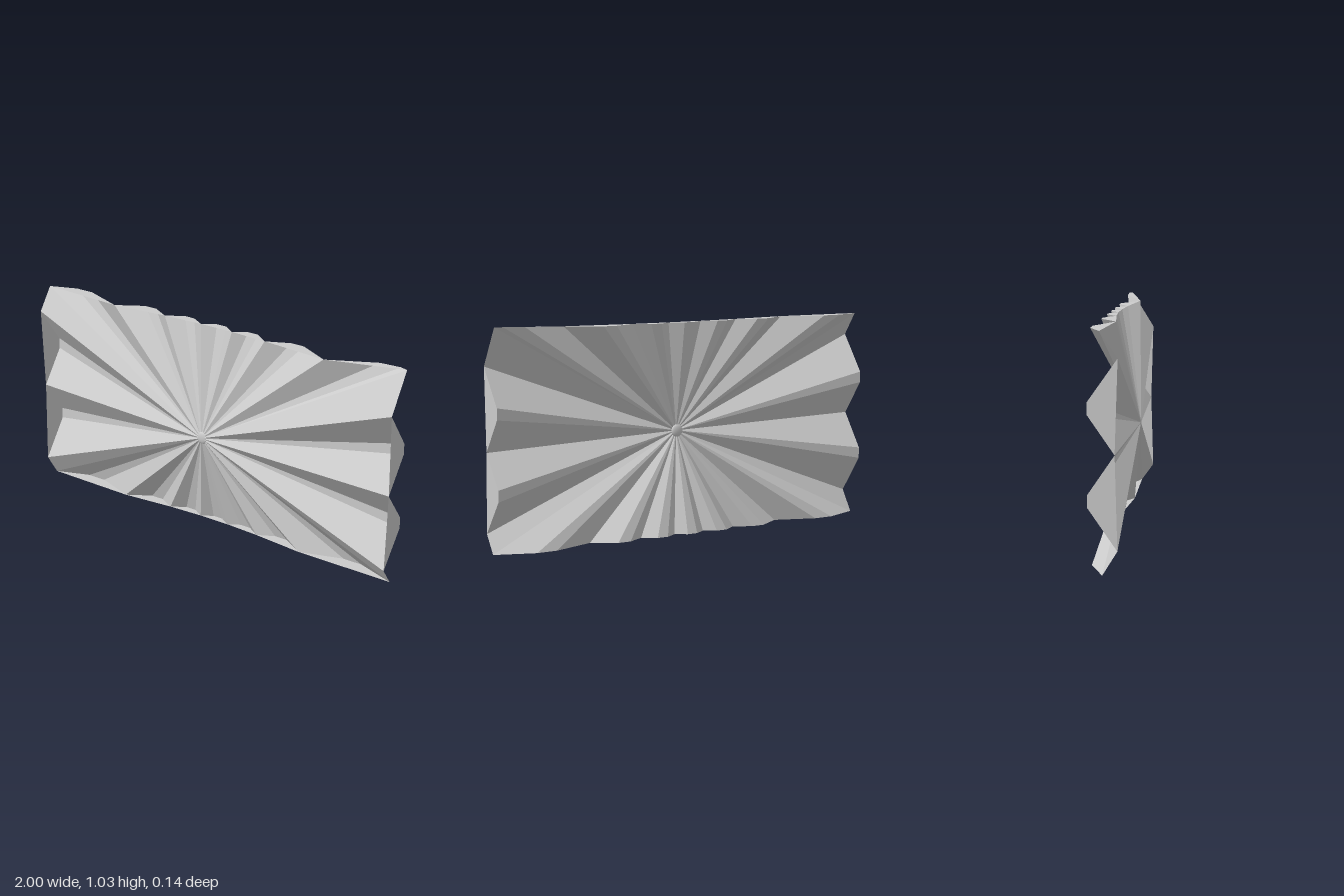
import * as THREE from 'three';

const CY = 0.487, TOP = 1.012, BOTTOM = 0.01, BACK = -0.07, FRONT = 0.07;
// Directions of the folds that stand forward, in degrees
const RIDGES = [-1, 20, 40, 61, 79, 98, 118, 137, 157.5, 179, 201, 222, 241, 260, 279, 298, 317, 339];
const rad = THREE.MathUtils.degToRad;

// Distance from the centre to the rectangular border along a direction
function reach(a) {
  const c = Math.cos(a), s = Math.sin(a);
  const up = s > 0 ? TOP - CY : CY - BOTTOM;
  return Math.min(1 / Math.max(Math.abs(c), 1e-6), up / Math.max(Math.abs(s), 1e-6));
}

// Border point; the upper and lower edges are slightly skewed on one side
function rimPoint(a, z) {
  const r = reach(a), x = r * Math.cos(a);
  let y = CY + r * Math.sin(a);
  if (y > TOP - 1e-4) y += 0.018 * THREE.MathUtils.clamp((x - 0.6) / 0.33, 0, 1);
  if (y < BOTTOM + 1e-4) y += 0.01 * x;
  return new THREE.Vector3(x, y, z);
}

// All border points in order: ridges, narrow flat valleys and the four corners
function makeRim() {
  const rim = [];
  RIDGES.forEach((deg, i) => {
    const a = rad(deg), next = rad(i + 1 < RIDGES.length ? RIDGES[i + 1] : RIDGES[0] + 360);
    rim.push({ a, z: -0.03 + 0.155 * (reach(a) - 0.525), stop: true });
    const mid = (a + next) / 2, half = 0.026 / reach(mid);
    rim.push({ a: mid - half, z: BACK }, { a: mid + half, z: BACK });
  });
  const corners = [[1, TOP], [-1, TOP], [-1, BOTTOM], [1, BOTTOM]];
  for (const [x, y] of corners) {
    let a = Math.atan2(y - CY, x);
    if (a < rad(RIDGES[0])) a += Math.PI * 2;
    const i = rim.findIndex((p) => p.a > a), k = i < 0 ? rim.length : i;
    const p = rim[k - 1], q = rim[k % rim.length];
    const t = (a - p.a) / ((k === rim.length ? q.a + Math.PI * 2 : q.a) - p.a);
    rim.splice(k, 0, { a, z: THREE.MathUtils.lerp(p.z, q.z, t), stop: true });
  }
  for (const p of rim) p.v = rimPoint(p.a, p.z);
  return rim;
}

function facetMesh(name, points, material) {
  const geometry = new THREE.BufferGeometry().setFromPoints(points);
  geometry.computeVertexNormals();
  const mesh = new THREE.Mesh(geometry, material);
  mesh.name = name;
  return mesh;
}

export function createModel() {
  const group = new THREE.Group();
  group.name = 'pleatedPanel';
  const material = new THREE.MeshStandardMaterial({ color: 0xcccccc, side: THREE.DoubleSide });
  const rim = makeRim(), n = rim.length;
  const centre = new THREE.Vector3(0, CY, FRONT);

  // Pleats fan out from the centre to the border
  const pleats = [];
  for (let i = 0; i < n; i++) pleats.push(centre, rim[i].v, rim[(i + 1) % n].v);
  group.add(facetMesh('pleats', pleats, material));

  // Thin walls close the open end of each valley
  const walls = [];
  let start = 0;
  for (let i = 1; i <= n; i++) {
    if (!rim[i % n].stop) continue;
    for (let k = start + 1; k < i; k++) walls.push(rim[start].v, rim[k].v, rim[(k + 1) % n].v);
    start = i;
  }
  group.add(facetMesh('valleyEnds', walls, material));

  // Small rounded knob where the pleats meet
  const knob = new THREE.Mesh(new THREE.SphereGeometry(0.03, 24, 12), material);
  knob.name = 'centreKnob';
  knob.scale.z = 0.35;
  knob.position.set(0, CY, 0.062);
  group.add(knob);

  return group;
}
